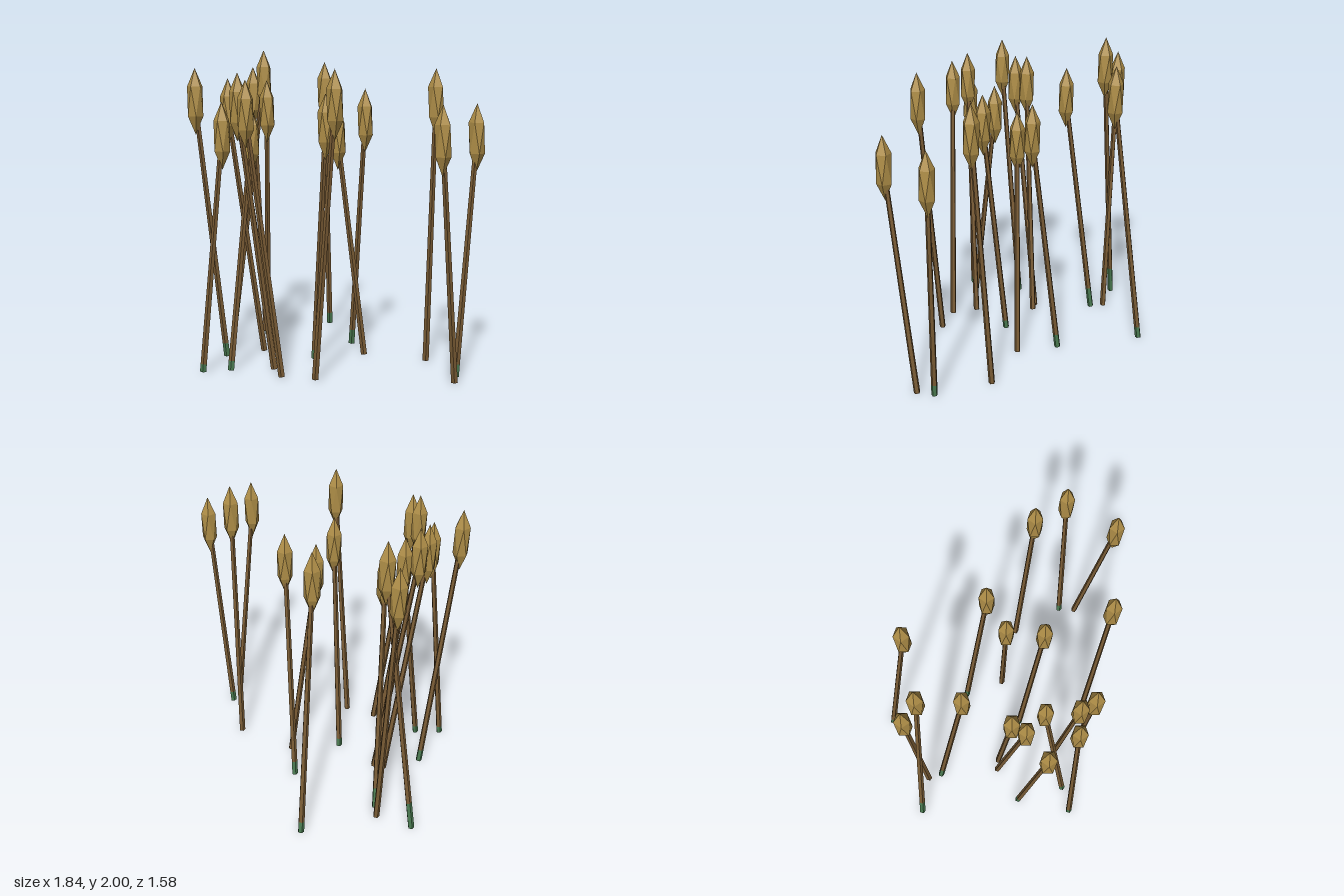
import * as THREE from 'three';

const mat = (name, color) => {
  const m = new THREE.MeshStandardMaterial({ color, flatShading: true });
  m.name = name;
  return m;
};

// One row per reed: head x, head z, tip height, base x, base z, green root length
const REEDS = [
  [-0.655, -0.537, 1.885, -0.57, -0.495, 0],
  [-0.565, -0.46, 2.0, -0.81, -0.535, 0.2],
  [-0.503, -0.207, 1.8, -0.54, -0.407, 0.15],
  [-0.153, -0.557, 1.92, -0.14, -0.772, 0.08],
  [0.167, -0.07, 1.75, 0.067, -0.233, 0.1],
  [0, 0.05, 1.645, 0.172, 0.027, 0],
  [-0.65, 0.083, 1.83, -0.434, 0.005, 0],
  [-0.69, 0.167, 1.82, -0.5, 0, 0],
  [-0.872, 0.29, 1.885, -0.722, 0.15, 0.09],
  [-0.522, 0.286, 1.65, -0.633, 0.466, 0.06],
  [-0.665, 0.483, 1.685, -0.8, 0.512, 0.05],
  [-0.567, 0.478, 1.86, -0.368, 0.41, 0],
  [-0.502, 0.571, 1.82, -0.296, 0.567, 0],
  [-0.054, 0.281, 1.73, -0.143, 0.155, 0.06],
  [0.044, 0.68, 1.885, -0.085, 0.6, 0],
  [0.626, 0.222, 1.885, 0.58, 0.13, 0],
  [0.872, 0.433, 1.68, 0.768, 0.463, 0.08],
  [0.67, 0.739, 1.685, 0.76, 0.578, 0],
];
const HALF_HEAD = 0.207;
const R_BASE = 0.021, R_TOP = 0.016;

export function createModel() {
  const group = new THREE.Group();
  group.name = 'reeds';
  const headMat = mat('seed head tan', 0xb08f48);
  const stemMat = mat('stem brown', 0x7a5c35);
  const rootMat = mat('root green', 0x4a7a50);

  // Stretched icosahedron standing on one of its corners
  const headGeo = new THREE.IcosahedronGeometry(1, 0);
  headGeo.rotateZ(Math.atan(2 / (1 + Math.sqrt(5))));
  headGeo.scale(0.056, HALF_HEAD, 0.056);
  headGeo.computeVertexNormals();

  const up = new THREE.Vector3(0, 1, 0);

  REEDS.forEach(([hx, hz, tip, bx, bz, green], i) => {
    const reed = new THREE.Group();
    reed.name = `reed${i + 1}`;

    const head = new THREE.Mesh(headGeo, headMat);
    head.name = 'seedHead';
    head.position.set(hx, tip - HALF_HEAD, hz);
    reed.add(head);

    // Leaning stem from the ground to the middle of the head
    const base = new THREE.Vector3(bx, 0.005, bz);
    const dir = head.position.clone().sub(base);
    const length = dir.length();
    dir.normalize();
    const section = (name, material, from, to) => {
      const radius = (d) => R_BASE + (R_TOP - R_BASE) * d / length;
      const geo = new THREE.CylinderGeometry(radius(to), radius(from), to - from, 5);
      const mesh = new THREE.Mesh(geo, material);
      mesh.name = name;
      mesh.position.copy(base).addScaledVector(dir, (from + to) / 2);
      mesh.quaternion.setFromUnitVectors(up, dir);
      reed.add(mesh);
    };
    if (green) section('root', rootMat, 0, green);
    section('stem', stemMat, green, length);
    group.add(reed);
  });
  return group;
}
